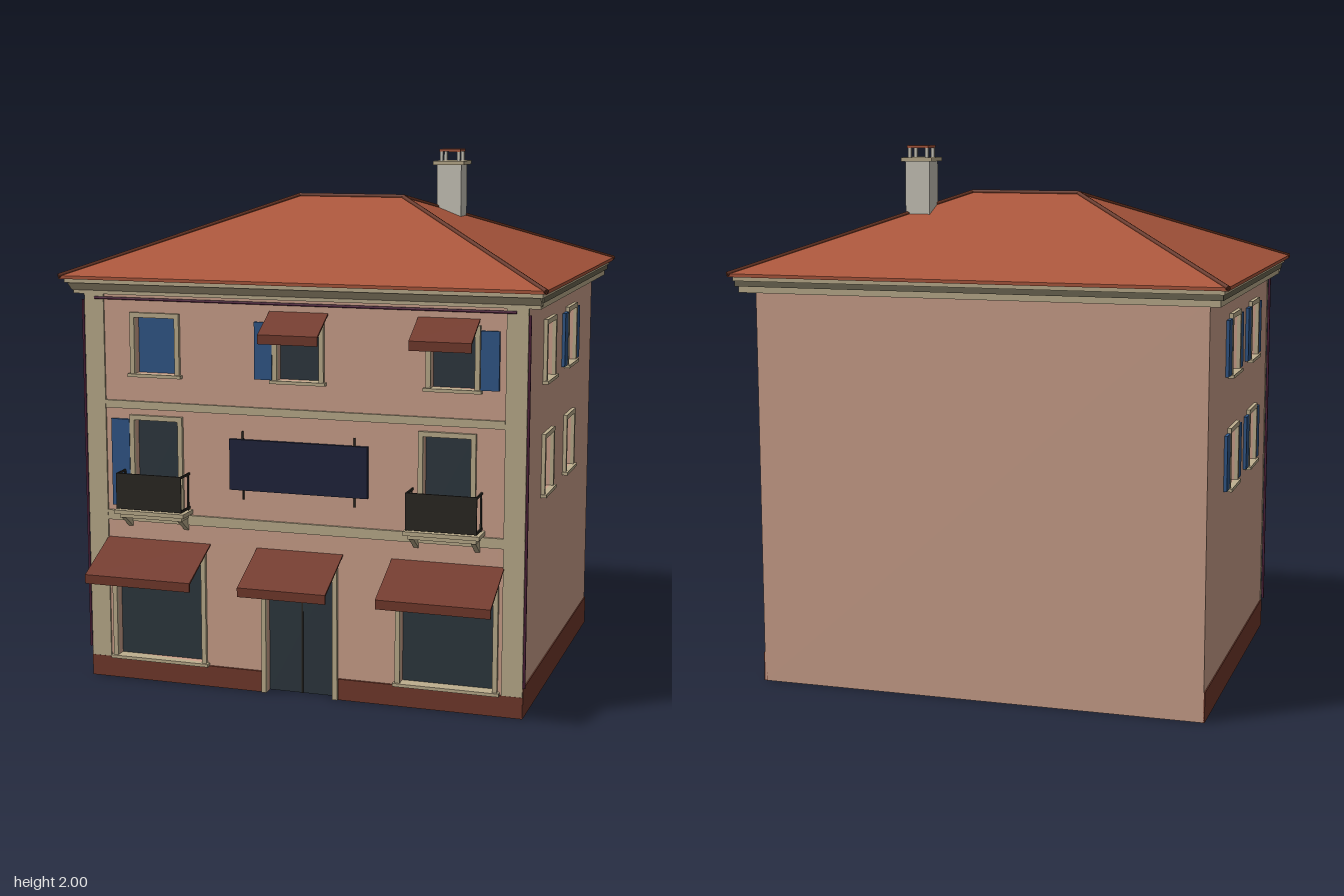
import * as THREE from 'three';
import { ConvexGeometry } from 'three/addons/geometries/ConvexGeometry.js';

const mat = (color) => new THREE.MeshStandardMaterial({ color });
const M = {
  wall: mat(0xd0a48e), trim: mat(0xbfb08f), base: mat(0x743a2c), roof: mat(0xad583d), cap: mat(0x63301f),
  awning: mat(0x743a2c), glass: mat(0x2e3840), blue: mat(0x31588a), iron: mat(0x2b2823), sign: mat(0x20243c),
  pipe: mat(0x54243f), gutter: mat(0x6d6753), chimney: mat(0xcfcbbf),
};
const FRONT = 0.57, BACK = -0.69, SIDE = 0.84, THICK = 0.06;

function add(parent, name, geometry, material) {
  const mesh = new THREE.Mesh(geometry, material);
  mesh.name = name;
  parent.add(mesh);
  return mesh;
}

// Box given by its limits on each axis
function box(parent, name, material, x0, x1, y0, y1, z0, z1) {
  const mesh = add(parent, name, new THREE.BoxGeometry(x1 - x0, y1 - y0, z1 - z0), material);
  mesh.position.set((x0 + x1) / 2, (y0 + y1) / 2, (z0 + z1) / 2);
  return mesh;
}

const polygon = (pts) => pts.map(([x, y]) => new THREE.Vector2(x, y));
const rect = (x0, x1, y0, y1) => polygon([[x0, y0], [x1, y0], [x1, y1], [x0, y1]]);

function extrude(points, holes, depth) {
  const shape = new THREE.Shape(points);
  for (const hole of holes) shape.holes.push(new THREE.Path(hole));
  return new THREE.ExtrudeGeometry(shape, { depth, bevelEnabled: false });
}

// Side profile of [z, y] points, extruded between two x positions
function profile(parent, name, material, pts, x0, x1) {
  const geo = extrude(polygon(pts.map(([z, y]) => [-z, y])), [], x1 - x0).rotateY(Math.PI / 2);
  const mesh = add(parent, name, geo, material);
  mesh.position.x = x0;
  return mesh;
}

// Wall with openings {x, w, y0, y1, panel, open, depth}; its outer face is local z = 0
function wall(parent, name, u0, u1, openings) {
  const group = new THREE.Group();
  group.name = name;
  parent.add(group);
  const door = openings.find((o) => o.y0 === 0);
  const outline = [[u0, 0]];
  if (door) {
    const a = door.x - door.w / 2, b = door.x + door.w / 2;
    outline.push([a, 0], [a, door.y1], [b, door.y1], [b, 0]);
  }
  outline.push([u1, 0], [u1, 1.5], [u0, 1.5]);
  const holes = openings.filter((o) => o !== door).map((o) => rect(o.x - o.w / 2, o.x + o.w / 2, o.y0, o.y1));
  add(group, 'wallPanel', extrude(polygon(outline), holes, THICK), M.wall).position.z = -THICK;
  for (const o of openings) opening(group, o);
  return group;
}

function opening(group, { x, w, y0, y1, panel = M.glass, shutters = [], depth = 0.03, sill = true }) {
  const a = x - w / 2, b = x + w / 2, f = 0.018;
  box(group, 'windowPanel', panel, a, b, y0, y1, -depth - 0.01, -depth);
  // surround, left open at the floor for a door
  const frame = y0 === 0
    ? extrude(polygon([[a - f, 0], [a, 0], [a, y1], [b, y1], [b, 0], [b + f, 0], [b + f, y1 + f], [a - f, y1 + f]]), [], 0.014)
    : extrude(rect(a - f, b + f, y0 - 0.005, y1 + f), [rect(a, b, y0, y1)], 0.014);
  add(group, 'windowFrame', frame, M.trim);
  if (sill) box(group, 'windowSill', M.trim, a - 0.026, b + 0.026, y0 - 0.012, y0, -depth, 0.022);
  for (const s of shutters) {
    const c = x + s * (w / 2 + 0.02 + w * 0.21);
    box(group, 'shutter', M.blue, c - w * 0.21, c + w * 0.21, y0, y1, 0, 0.012);
  }
}

// Sloping awning with a short valance
function awning(parent, x0, x1, yTop, reach, drop) {
  const z0 = FRONT, z1 = FRONT + reach, y1 = yTop - drop, t = 0.006;
  profile(parent, 'awning', M.awning, [
    [z0, yTop], [z1, y1], [z1, y1 - 0.034], [z1 - t, y1 - 0.034], [z1 - t, y1 - t], [z0, yTop - t],
  ], x0, x1);
}

function balcony(parent, x) {
  const group = new THREE.Group();
  group.name = 'balcony';
  group.position.x = x;
  parent.add(group);
  box(group, 'balconySlab', M.trim, -0.14, 0.14, 0.665, 0.68, FRONT, 0.665);
  box(group, 'balconyMoulding', M.trim, -0.125, 0.125, 0.648, 0.665, FRONT, 0.645);
  box(group, 'railingPanel', M.iron, -0.13, 0.13, 0.685, 0.82, 0.655, 0.661);
  for (const s of [-1, 1]) {
    const e = s * 0.127, k = s * 0.113;
    for (const y of [0.688, 0.816]) box(group, 'sideRail', M.iron, e - 0.003, e + 0.003, y - 0.004, y + 0.004, FRONT, 0.66);
    box(group, 'railingPost', M.iron, e - 0.003, e + 0.003, 0.68, 0.82, 0.582, 0.588);
    profile(group, 'bracket', M.trim, [[FRONT, 0.6], [FRONT + 0.015, 0.61], [0.64, 0.648], [FRONT, 0.648]], k - 0.009, k + 0.009);
  }
}

function rod(parent, name, material, from, to, radius) {
  const a = new THREE.Vector3(...from), b = new THREE.Vector3(...to);
  const mesh = add(parent, name, new THREE.CylinderGeometry(radius, radius, a.distanceTo(b), 8), material);
  mesh.position.copy(a).add(b).multiplyScalar(0.5);
  mesh.quaternion.setFromUnitVectors(new THREE.Vector3(0, 1, 0), b.sub(a).normalize());
}

function addWalls(house) {
  const upper = { w: 0.16, y0: 1.185, y1: 1.395 };
  const middle = { w: 0.175, y0: 0.68, y1: 1.01, sill: false };
  const shop = { w: 0.345, y0: 0.09, y1: 0.5 };
  wall(house, 'frontWall', -SIDE, SIDE, [
    { ...upper, x: -0.56, panel: M.blue }, { ...upper, x: 0, shutters: [-1] }, { ...upper, x: 0.575, shutters: [1] },
    { ...middle, x: -0.56, shutters: [-1] }, { ...middle, x: 0.557 },
    { ...shop, x: -0.56 }, { ...shop, x: 0.56 },
    { x: 0, w: 0.26, y0: 0, y1: 0.5, sill: false },
  ]).position.z = FRONT;
  box(house, 'doorSplit', M.iron, -0.003, 0.003, 0, 0.5, FRONT - 0.03, FRONT - 0.026);

  box(house, 'backWall', M.wall, -SIDE, SIDE, 0, 1.5, BACK, BACK + THICK);

  // two by two windows on each flank
  const rows = [[0.765, 0.97], [1.185, 1.39]];
  for (const s of [-1, 1]) {
    const openings = [];
    for (const z of [0.205, -0.215]) {
      for (const [y0, y1] of rows) {
        const open = s < 0 || (z < 0 && y0 > 1);
        openings.push({ x: -s * z, w: 0.145, y0, y1, depth: 0.045, panel: open ? M.glass : M.blue, shutters: open ? [-1, 1] : [] });
      }
    }
    const ends = [-s * (FRONT - THICK), -s * (BACK + THICK)].sort((a, b) => a - b);
    const side = wall(house, s > 0 ? 'leftWall' : 'rightWall', ends[0], ends[1], openings);
    side.rotation.y = s * Math.PI / 2;
    side.position.x = s * SIDE;
  }
}

function addTrim(house) {
  for (const s of [-1, 1]) {
    const span = (a, b) => (s > 0 ? [a, b] : [-b, -a]);
    box(house, 'frontPlinth', M.base, ...span(0.15, SIDE + 0.003), 0, 0.08, FRONT - 0.01, FRONT + 0.008);
    box(house, 'sidePlinth', M.base, ...span(SIDE - 0.01, SIDE + 0.004), 0, 0.11, BACK, FRONT + 0.004);
    box(house, 'cornerPilaster', M.trim, ...span(0.765, SIDE + 0.002), 0.08, 1.48, FRONT - 0.01, FRONT + 0.007);
    rod(house, 'cornerPipe', M.pipe, [s * 0.848, 0.115, 0.576], [s * 0.848, 1.455, 0.576], 0.005);
    rod(house, 'signBracket', M.iron, [s * 0.215, 0.735, 0.58], [s * 0.215, 0.99, 0.58], 0.004);
  }
  for (const [y0, y1] of [[0.62, 0.658], [1.05, 1.08]]) {
    box(house, 'stringCourse', M.trim, -0.765, 0.765, y0, y1, FRONT, FRONT + 0.006);
    box(house, 'stringCourseLip', M.trim, -0.765, 0.765, y1 - 0.01, y1, FRONT, FRONT + 0.01);
  }
  rod(house, 'eavesPipe', M.pipe, [-0.8, 1.463, 0.577], [0.8, 1.463, 0.577], 0.005);
  box(house, 'signBoard', M.sign, -0.265, 0.265, 0.77, 0.96, 0.575, 0.589);
  for (const x of [-0.56, 0, 0.56]) {
    const h = x === 0 ? 0.167 : 0.208;
    awning(house, x - h, x + h, 0.552, 0.21, 0.097);
  }
  for (const x of [0, 0.557]) awning(house, x - 0.112, x + 0.112, 1.435, 0.125, 0.07);
  balcony(house, -0.56);
  balcony(house, 0.557);
}

function addRoof(house) {
  // stepped eaves below the hipped roof
  box(house, 'cornice', M.trim, -0.885, 0.885, 1.477, 1.5, -0.74, 0.58);
  box(house, 'gutterBand', M.gutter, -0.895, 0.895, 1.5, 1.52, -0.75, 0.583);
  box(house, 'eavesBoard', M.trim, -0.9, 0.9, 1.52, 1.538, -0.755, 0.625);
  profile(house, 'frontCornice', M.trim, [[0.57, 1.485], [0.59, 1.495], [0.625, 1.525], [0.57, 1.525]], -0.89, 0.89);

  const X = 0.915, Z0 = -0.77, Z1 = 0.64, ridgeZ = -0.06;
  const points = [];
  for (const x of [-1, 1]) {
    for (const z of [Z0, Z1]) for (const y of [1.535, 1.547]) points.push(new THREE.Vector3(x * X, y, z));
    points.push(new THREE.Vector3(x * 0.21, 1.82, ridgeZ));
  }
  add(house, 'hippedRoof', new ConvexGeometry(points), M.roof);
  rod(house, 'ridgeCap', M.cap, [-0.21, 1.82, ridgeZ], [0.21, 1.82, ridgeZ], 0.009);
  for (const x of [-1, 1]) {
    for (const z of [Z0, Z1]) rod(house, 'hipCap', M.cap, [x * X, 1.545, z], [x * 0.21, 1.82, ridgeZ], 0.009);
  }

  // chimney with a small covered vent
  const stack = new THREE.Group();
  stack.name = 'chimney';
  stack.position.set(0.365, 0, -0.213);
  house.add(stack);
  box(stack, 'chimneyStack', M.chimney, -0.048, 0.048, 1.68, 1.94, -0.048, 0.048);
  box(stack, 'chimneyCollar', M.trim, -0.061, 0.061, 1.94, 1.955, -0.061, 0.061);
  for (const x of [-0.034, 0.034]) {
    for (const z of [-0.034, 0.034]) box(stack, 'ventPost', M.chimney, x - 0.006, x + 0.006, 1.955, 1.99, z - 0.006, z + 0.006);
  }
  box(stack, 'chimneyCap', M.roof, -0.042, 0.042, 1.99, 2, -0.042, 0.042);
}

export function createModel() {
  const house = new THREE.Group();
  house.name = 'townHouse';
  addWalls(house);
  addTrim(house);
  addRoof(house);
  return house;
}
